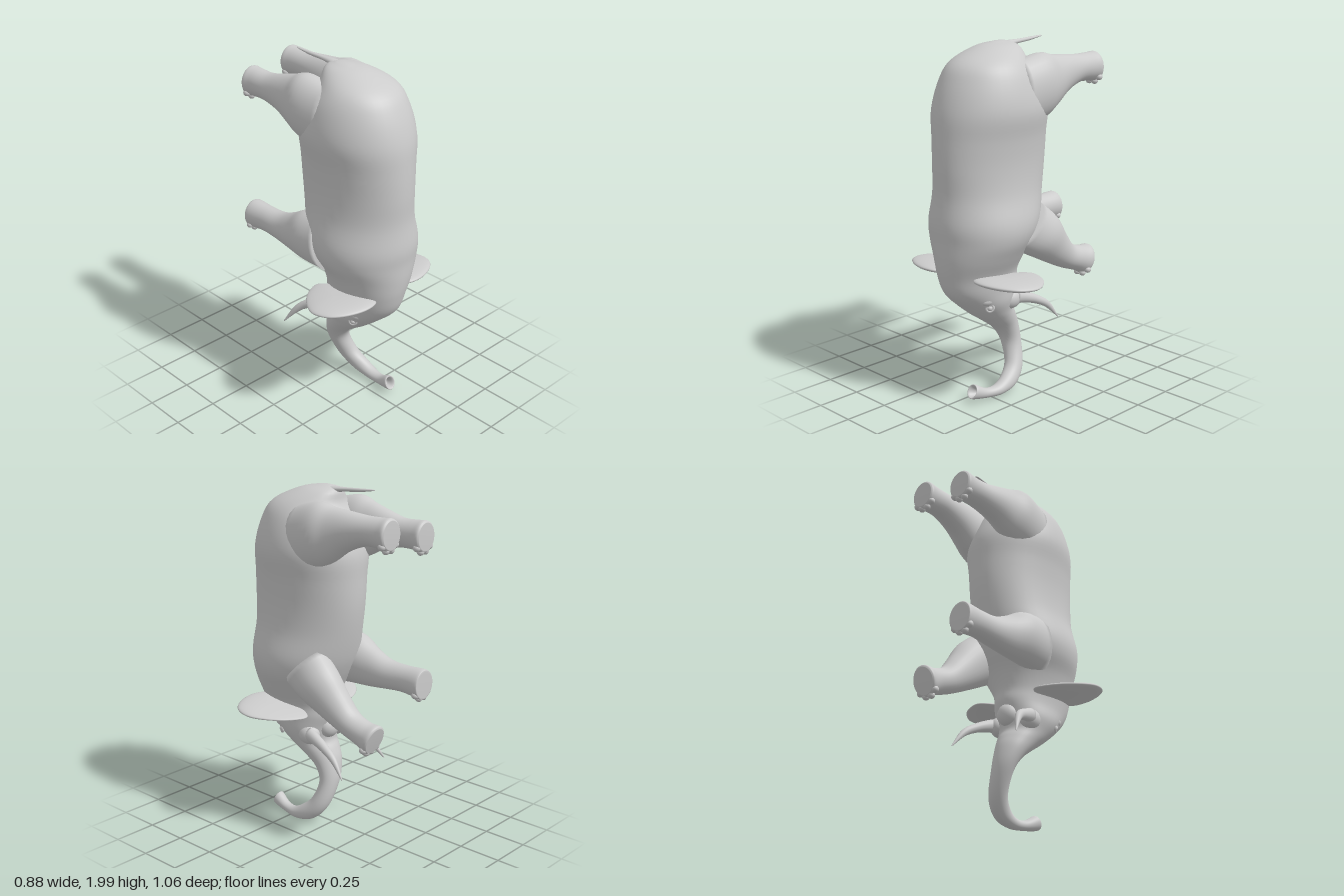
import * as THREE from 'three';

const material = new THREE.MeshStandardMaterial({ color: 0xcccccc, roughness: 0.7 });

// Smooth closed skin through sections [x, y, z, halfWidth, halfDepth, tilt in degrees].
// A section lies across x and a direction tilted from +z towards +y.
function loft(sections, sides = 32, steps = 5) {
  const spline = (i) => new THREE.CatmullRomCurve3(
    sections.map((s) => new THREE.Vector3(s[i], s[i + 1], s[i + 2])), false, 'catmullrom', 0.5);
  const path = spline(0), form = spline(3);
  const rings = (sections.length - 1) * steps;
  const pos = [], index = [];
  for (let i = 0; i <= rings; i++) {
    const c = path.getPoint(i / rings), f = form.getPoint(i / rings);
    const t = THREE.MathUtils.degToRad(f.z);
    for (let j = 0; j < sides; j++) {
      const a = (j / sides) * Math.PI * 2, v = Math.sin(a) * f.y;
      pos.push(c.x + Math.cos(a) * f.x, c.y + v * Math.sin(t), c.z + v * Math.cos(t));
    }
  }
  for (let i = 0; i < rings; i++) for (let j = 0; j < sides; j++) {
    const a = i * sides + j, b = i * sides + ((j + 1) % sides);
    index.push(a, b, a + sides, b, b + sides, a + sides);
  }
  // end caps
  const n = pos.length / 3, last = rings * sides;
  pos.push(...sections[0].slice(0, 3), ...sections[sections.length - 1].slice(0, 3));
  for (let j = 0; j < sides; j++) {
    const k = (j + 1) % sides;
    index.push(n, k, j, n + 1, last + j, last + k);
  }
  const g = new THREE.BufferGeometry();
  g.setAttribute('position', new THREE.Float32BufferAttribute(pos, 3));
  g.setIndex(index);
  g.computeVertexNormals();
  return g;
}

// Puffed flat ear filling an outline of [x, z] points.
function earGeometry(side, shift) {
  let outline = [[0.11, 0.3], [0.13, 0.42], [0.22, 0.445], [0.34, 0.41], [0.42, 0.34],
    [0.44, 0.24], [0.38, 0.13], [0.29, 0.05], [0.19, 0.02], [0.13, 0.12]];
  if (side < 0) outline = outline.map(([x, z]) => [-x, z + shift]).reverse();
  const edge = new THREE.CatmullRomCurve3(outline.map(([x, z]) => new THREE.Vector3(x, 0, z)), true);
  const g = new THREE.SphereGeometry(1, 48, 20), p = g.attributes.position, uv = g.attributes.uv;
  const centre = new THREE.Vector3(side * 0.27, 0, 0.25);
  for (let i = 0; i < p.count; i++) {
    const s = Math.sin(uv.getY(i) * Math.PI);
    const q = edge.getPoint(((uv.getX(i) % 1) + 1) % 1).sub(centre).multiplyScalar(s).add(centre);
    const thick = 0.02 + 0.03 * q.z;
    p.setXYZ(i, q.x, 0.735 + 0.09 * (q.z - 0.25) + p.getY(i) * thick, q.z);
  }
  g.computeVertexNormals();
  return g;
}

export function createModel() {
  const group = new THREE.Group();
  const add = (name, geometry) => {
    const mesh = new THREE.Mesh(geometry, material);
    mesh.name = name;
    group.add(mesh);
    return mesh;
  };
  const blob = (name, x, y, z, rx, ry, rz) => {
    const mesh = add(name, new THREE.SphereGeometry(1, 20, 14));
    mesh.position.set(x, y, z);
    mesh.scale.set(rx, ry, rz);
    return mesh;
  };

  // rump, barrel, shoulders, head and curled trunk in one skin
  add('bodyHeadAndTrunk', loft([
    [-0.02, 1.995, 0.07, 0.02, 0.04, 0],
    [-0.01, 1.97, 0.1, 0.11, 0.13, 0],
    [0, 1.9, 0.165, 0.2, 0.215, 0],
    [0, 1.8, 0.165, 0.255, 0.285, 0],
    [0, 1.65, 0.16, 0.285, 0.34, 0],
    [0, 1.5, 0.165, 0.262, 0.35, 0],
    [0, 1.35, 0.17, 0.25, 0.35, 0],
    [0, 1.2, 0.18, 0.257, 0.337, 0],
    [0, 1.05, 0.205, 0.288, 0.325, 0],
    [0, 0.95, 0.222, 0.278, 0.302, 0],
    [0, 0.85, 0.245, 0.23, 0.275, 0],
    [-0.01, 0.75, 0.252, 0.188, 0.253, 0],
    [-0.01, 0.66, 0.233, 0.172, 0.235, -4],
    [-0.015, 0.575, 0.195, 0.165, 0.177, -8],
    [-0.015, 0.5, 0.155, 0.135, 0.127, -10],
    [-0.015, 0.445, 0.1, 0.112, 0.1, -14],
    [-0.012, 0.375, 0.043, 0.088, 0.072, -18],
    [0.01, 0.275, 0.015, 0.066, 0.055, -4],
    [0.06, 0.15, 0.04, 0.055, 0.054, 22],
    [0.09, 0.075, 0.11, 0.047, 0.053, 41],
    [0.098, 0.043, 0.2, 0.038, 0.036, 62],
    [0.088, 0.045, 0.285, 0.031, 0.029, 88],
    [0.074, 0.074, 0.373, 0.038, 0.042, 112],
    [0.074, 0.074, 0.373, 0.026, 0.03, 112],
    [0.078, 0.058, 0.335, 0.012, 0.014, 105],
  ], 40, 5));

  // legs, from thigh or shoulder to sole, each with four toes along the front of the foot
  const hind = (s, d) => [
    [s * 0.15, 1.72, 0.12, 0.11, 0.18, -90],
    [s * 0.16, 1.755, -0.05, 0.12, 0.18, -90],
    [s * 0.155, 1.77 - d * 0.2, -0.15, 0.1, 0.147, -90],
    [s * 0.15, 1.8 - d * 0.6, -0.25, 0.086, 0.108, -90],
    [s * 0.145, 1.818 - d, -0.37, 0.075, 0.08, -90],
    [s * 0.143, 1.818 - d, -0.47, 0.073, 0.081, -90],
    [s * 0.143, 1.815 - d, -0.517, 0.077, 0.087, -90],
    [s * 0.143, 1.815 - d, -0.532, 0.066, 0.075, -90],
  ];
  const legs = {
    leftHindLeg: hind(1, 0),
    rightHindLeg: hind(-1, 0.05),
    leftFrontLeg: [
      [0.16, 1.0, 0.06, 0.11, 0.16, -45],
      [0.175, 0.92, -0.06, 0.112, 0.14, -45],
      [0.17, 0.83, -0.17, 0.092, 0.105, -50],
      [0.165, 0.75, -0.28, 0.075, 0.076, -62],
      [0.165, 0.712, -0.38, 0.071, 0.075, -70],
      [0.165, 0.695, -0.44, 0.078, 0.088, -72],
      [0.165, 0.69, -0.455, 0.068, 0.076, -72],
    ],
    rightFrontLeg: [
      [-0.16, 1.0, 0.1, 0.12, 0.17, -80],
      [-0.17, 0.99, -0.04, 0.115, 0.15, -80],
      [-0.165, 0.965, -0.16, 0.09, 0.115, -85],
      [-0.16, 0.95, -0.28, 0.076, 0.085, -90],
      [-0.16, 0.95, -0.4, 0.07, 0.077, -90],
      [-0.16, 0.945, -0.515, 0.076, 0.086, -90],
      [-0.16, 0.943, -0.53, 0.066, 0.075, -90],
    ],
  };
  for (const [name, sections] of Object.entries(legs)) {
    add(name, loft(sections, 28, 5));
    const [x, y, z, rx, ry, tilt] = sections[sections.length - 2];
    const t = THREE.MathUtils.degToRad(tilt);
    for (let i = 0; i < 4; i++) {
      const a = THREE.MathUtils.degToRad(40 + i * 33), v = Math.sin(a) * ry * 0.9;
      blob(name + 'Toe', x + Math.cos(a) * rx * 0.9, y + v * Math.sin(t) - 0.004,
        z + v * Math.cos(t) + 0.008, 0.02, 0.02, 0.021);
    }
  }

  // ears, eyes and tusks
  for (const s of [1, -1]) {
    const side = s > 0 ? 'left' : 'right', x = -0.012;
    add(side + 'Ear', earGeometry(s, 0.03));
    blob(side + 'Brow', x + s * 0.115, 0.605, 0.29, 0.04, 0.035, 0.055);
    blob(side + 'Cheek', x + s * 0.105, 0.565, 0.1, 0.055, 0.06, 0.07);
    blob(side + 'Eye', x + s * 0.133, 0.56, 0.287, 0.017, 0.017, 0.017);
    const lid = add(side + 'Eyelid', new THREE.TorusGeometry(0.02, 0.008, 10, 24));
    lid.position.set(x + s * 0.135, 0.56, 0.288);
    lid.rotation.y = s * 1.0;
    const out = s > 0 ? 0 : 0.03, tip = s > 0 ? 0.165 : 0.25, zt = s > 0 ? -0.22 : -0.18;
    add(side + 'Tusk', loft([
      [s * (0.11 + out), 0.575, 0.08, 0.036, 0.042, -80],
      [s * (0.122 + out), 0.56, 0.02, 0.031, 0.034, -75],
      [s * (0.135 + out * 1.4), 0.53, -0.06, 0.026, 0.026, -66],
      [s * (0.15 + out * 2), 0.48, zt * 0.66, 0.018, 0.019, -56],
      [s * tip, 0.39, zt, 0.003, 0.003, -42],
    ], 18, 5));
  }
  blob('lowerLip', -0.01, 0.6, 0.04, 0.065, 0.065, 0.055);

  // thin tapering tail
  add('tail', loft([
    [-0.01, 1.965, 0.08, 0.05, 0.02, -90],
    [-0.014, 1.975, 0.0, 0.028, 0.017, -90],
    [-0.02, 1.98, -0.08, 0.014, 0.012, -90],
    [-0.027, 1.985, -0.17, 0.012, 0.01, -90],
    [-0.029, 1.993, -0.25, 0.01, 0.005, -90],
    [-0.03, 1.994, -0.27, 0.003, 0.003, -90],
  ], 16, 5));

  return group;
}
